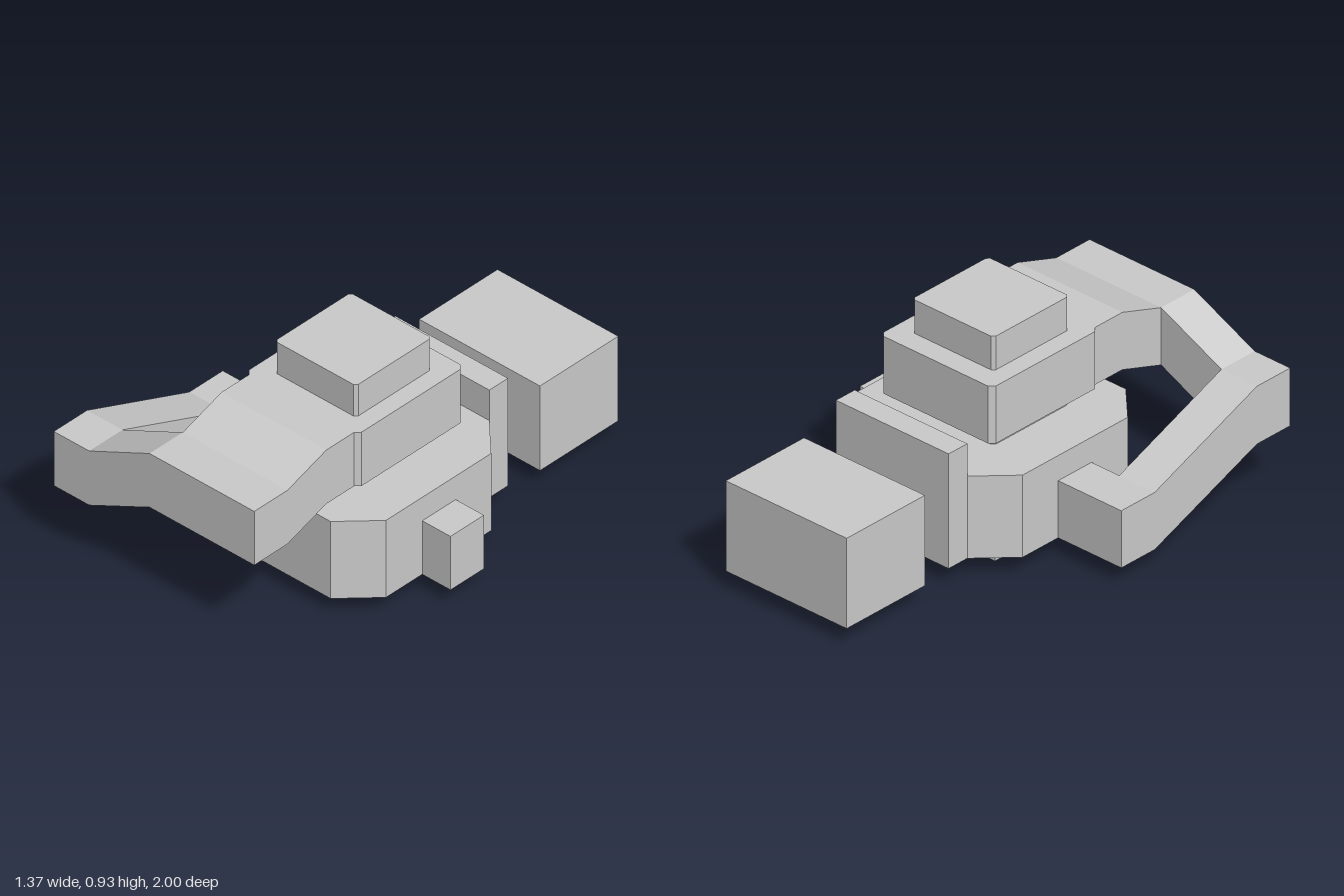
import * as THREE from 'three';

const material = new THREE.MeshStandardMaterial({ color: 0xcccccc, flatShading: true });

function shapeOf(points) {
  return new THREE.Shape(points.map(([a, b]) => new THREE.Vector2(a, b)));
}

function extrude(points, depth) {
  return new THREE.ExtrudeGeometry(shapeOf(points), { depth, bevelEnabled: false });
}

export function createModel() {
  const group = new THREE.Group();

  const add = (name, geometry) => {
    const mesh = new THREE.Mesh(geometry, material);
    mesh.name = name;
    group.add(mesh);
  };

  // Plain block given by its limits on each axis
  const block = (name, [x0, x1], [y0, y1], [z0, z1]) => {
    const g = new THREE.BoxGeometry(x1 - x0, y1 - y0, z1 - z0);
    g.translate((x0 + x1) / 2, (y0 + y1) / 2, (z0 + z1) / 2);
    add(name, g);
  };

  // Upright block with its four vertical corners cut by c
  const chamferedBlock = (name, [x0, x1], [y0, y1], [z0, z1], c) => {
    const g = extrude([
      [x0 + c, -z1], [x1 - c, -z1], [x1, -z1 + c], [x1, -z0 - c],
      [x1 - c, -z0], [x0 + c, -z0], [x0, -z0 - c], [x0, -z1 + c],
    ], y1 - y0);
    g.rotateX(-Math.PI / 2).translate(0, y0, 0);
    add(name, g);
  };

  // (z, y) profile extruded between two x positions
  const sideProfile = (name, [x0, x1], points) => {
    const g = extrude(points, x1 - x0);
    g.rotateY(-Math.PI / 2).translate(x1, 0, 0);
    add(name, g);
  };

  // Central tower
  block('base', [-0.205, 0.385], [0, 0.08], [-0.145, 0.44]);
  chamferedBlock('octagonalBody', [-0.355, 0.535], [0.08, 0.447], [-0.3, 0.592], 0.15);
  chamferedBlock('neck', [-0.122, 0.304], [0.447, 0.523], [-0.063, 0.363], 0.013);
  chamferedBlock('upperBody', [-0.205, 0.385], [0.523, 0.779], [-0.16, 0.44], 0.021);
  chamferedBlock('cap', [-0.122, 0.304], [0.779, 0.929], [-0.063, 0.363], 0.013);

  // Small flight of steps under the back
  const stairs = [[-0.145, 0.08], [-0.145, 0]];
  for (let i = 0; i < 5; i++) {
    const z = -0.165 - i * 0.02;
    stairs.push([z, i * 0.016], [z, (i + 1) * 0.016]);
  }
  sideProfile('steps', [0, 0.19], stairs);

  // Back wing
  block('backPlate', [-0.205, 0.385], [0.08, 0.592], [-0.405, -0.3]);
  block('backConnector', [-0.005, 0.188], [0.08, 0.335], [-0.56, -0.405]);
  block('backBlock', [-0.225, 0.408], [0.08, 0.483], [-1, -0.56]);

  // Side stubs
  block('leftStub', [0.535, 0.683], [0.08, 0.335], [0.05, 0.238]);
  block('rightStub', [-0.5, -0.355], [0.08, 0.335], [0.05, 0.238]);

  // Passage looping from the right stub up and round to the upper body
  sideProfile('sideRamp', [-0.686, -0.5], [
    [0.05, 0.08], [0.238, 0.08], [0.813, 0.3], [1, 0.3],
    [1, 0.558], [0.813, 0.558], [0.238, 0.335], [0.05, 0.335],
  ]);
  const front = extrude([
    [-0.5, 0.3], [-0.184, 0.449], [0.365, 0.449],
    [0.365, 0.705], [-0.184, 0.705], [-0.5, 0.558],
  ], 0.187);
  add('frontRamp', front.translate(0, 0, 0.813));
  sideProfile('upperRamp', [-0.184, 0.365], [
    [0.44, 0.523], [0.595, 0.523], [0.813, 0.449],
    [0.813, 0.705], [0.595, 0.779], [0.44, 0.779],
  ]);

  return group;
}
